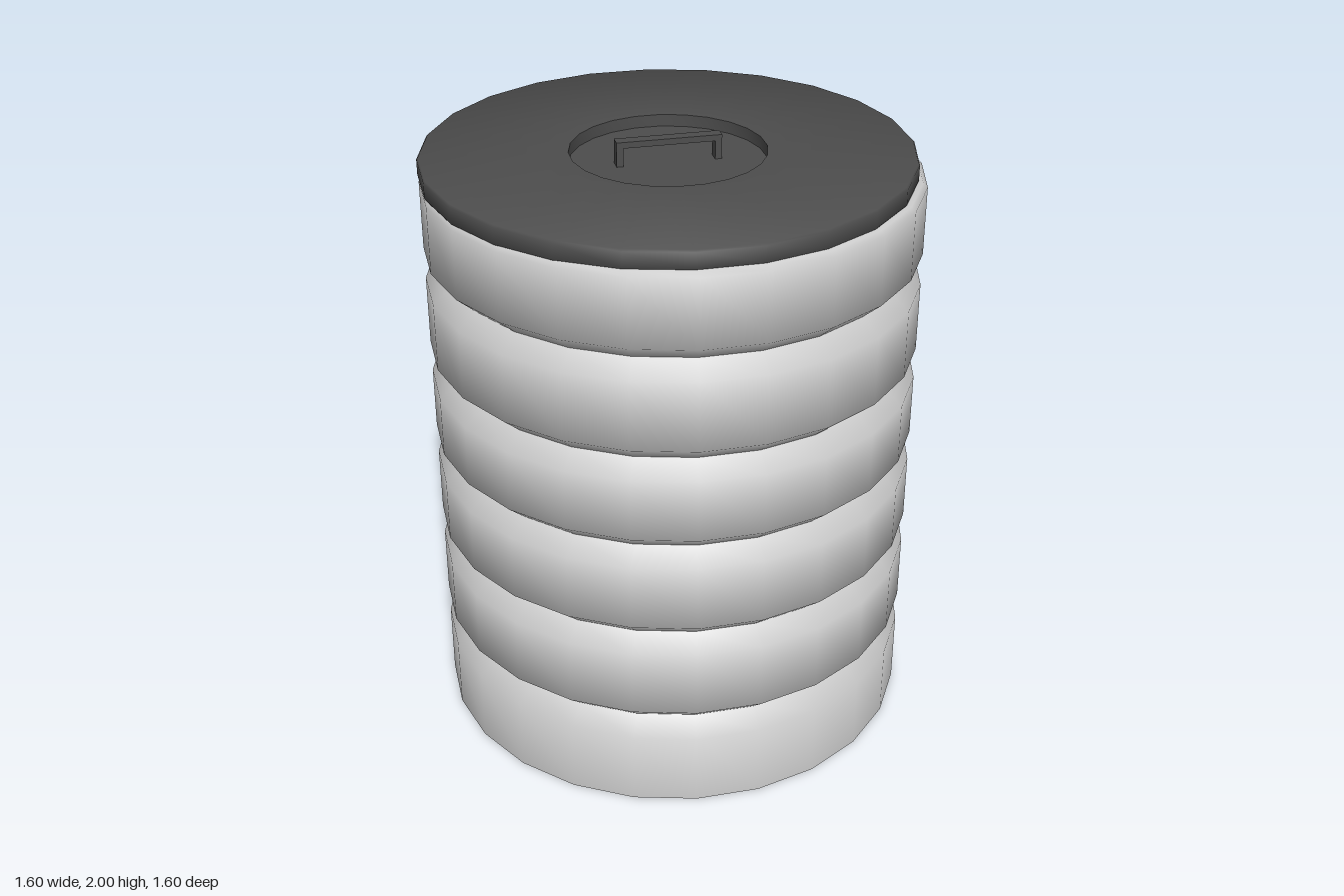
import * as THREE from 'three';
import { toCreasedNormals } from 'three/addons/utils/BufferGeometryUtils.js';

const SIDES = 24;
const bodyMaterial = new THREE.MeshStandardMaterial({ color: 0xcccccc });
const lidMaterial = new THREE.MeshStandardMaterial({ color: 0x4d4d4d });

// Revolved part from [radius, height] pairs, sharp only at strong corners
function turned(name, profile, material, crease) {
  const points = profile.map(([r, y]) => new THREE.Vector2(r, y));
  const geometry = toCreasedNormals(new THREE.LatheGeometry(points, SIDES), crease);
  const mesh = new THREE.Mesh(geometry, material);
  mesh.name = name;
  return mesh;
}

function box(name, w, h, d, x, y) {
  const mesh = new THREE.Mesh(new THREE.BoxGeometry(w, h, d), lidMaterial);
  mesh.name = name;
  mesh.position.set(x, y, 0);
  return mesh;
}

export function createModel() {
  const model = new THREE.Group();
  model.name = 'ribbedBarrel';

  // Barrel wall with five V-shaped grooves
  const R = 0.8, waist = 0.74, half = 0.053;
  const wall = [[0, 0], [R, 0]];
  for (const y of [0.303, 0.635, 0.96, 1.272, 1.607]) {
    wall.push([R, y - half], [waist, y], [R, y + half]);
  }
  wall.push([R, 1.885], [0.785, 1.9], [0, 1.9]);
  model.add(turned('barrelBody', wall, bodyMaterial, 1.05));

  // Lid sits slightly off centre and has a round recess
  const lid = new THREE.Group();
  lid.name = 'lid';
  lid.position.set(-0.008, 0, -0.016);
  lid.add(turned('lidDisc', [
    [0, 1.898], [0.784, 1.898], [0.788, 1.904], [0.788, 1.954], [0.783, 1.96],
    [0.315, 1.96], [0.315, 1.92], [0, 1.92],
  ], lidMaterial, 0.9));

  // Pull handle: a flat bar on two posts, turned on the lid
  const handle = new THREE.Group();
  handle.name = 'handle';
  handle.rotation.y = -Math.PI / 8;
  handle.add(box('handleBar', 0.34, 0.02, 0.04, 0, 1.99));
  for (const s of [-1, 1]) {
    handle.add(box('handlePost', 0.022, 0.065, 0.04, s * 0.159, 1.9475));
  }
  lid.add(handle);
  model.add(lid);

  return model;
}
